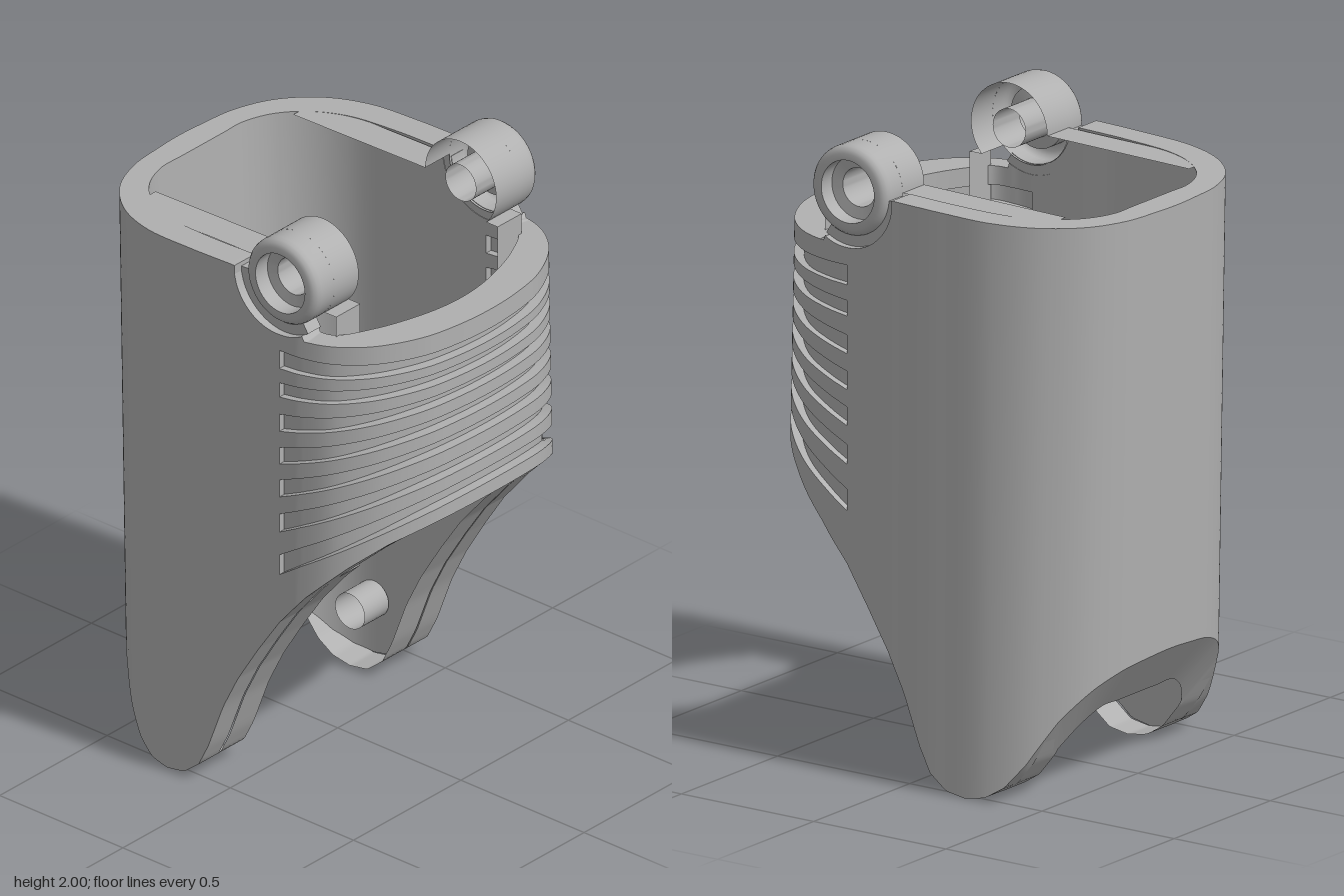
import * as THREE from 'three';
import { toCreasedNormals } from 'three/addons/utils/BufferGeometryUtils.js';

const { lerp, clamp } = THREE.MathUtils;
const HX = 0.22, HY = 1.856, HR = 0.144; // hinge axis and barrel radius

// lower cut line as seen from the front: x, y
const CUT = [[-0.66, 0.46], [-0.62, 0.42], [-0.57, 0.36], [-0.5, 0.265], [-0.42, 0.125], [-0.36, 0.05],
  [-0.3, 0.012], [-0.23, 0], [-0.16, 0.012], [-0.1, 0.06], [-0.06, 0.14], [0, 0.3], [0.06, 0.42],
  [0.14, 0.55], [0.22, 0.67], [0.32, 0.79], [0.45, 0.92], [0.54, 1.0], [0.64, 1.065]];
function cutY(x) {
  let i = 0;
  while (i < CUT.length - 2 && CUT[i + 1][0] < x) i++;
  const [a, b] = [CUT[i], CUT[i + 1]];
  return lerp(a[1], b[1], clamp((x - a[0]) / (b[0] - a[0]), 0, 1));
}

// plan sections (x, z) of one half, outer and inner
const BACK_OUT = [[-0.645, 0], [-0.64, 0.1], [-0.625, 0.23], [-0.57, 0.36], [-0.46, 0.465], [-0.32, 0.52], [-0.14, 0.532], [0.045, 0.532]];
const BACK_IN = [[-0.55, 0], [-0.55, 0.1], [-0.549, 0.19], [-0.51, 0.29], [-0.43, 0.37], [-0.32, 0.42], [-0.14, 0.438], [0.045, 0.438]];
const SIDE_OUT = [[0.045, 0.532], [0.14, 0.529], [HX, 0.524]];
const SIDE_IN = [[0.045, 0.438], [0.14, 0.438], [HX, 0.438]];
const FRONT_OUT = [[HX, 0.524], [0.3, 0.52], [0.4, 0.49], [0.5, 0.41], [0.58, 0.27], [0.61, 0.14], [0.62, 0]];
const FRONT_IN = [[HX, 0.438], [0.29, 0.438], [0.36, 0.425], [0.425, 0.32], [0.466, 0.21], [0.492, 0.1], [0.5, 0]];

const flip = (pts) => pts.map(([x, z]) => [x, -z]).reverse();
function sample(pts, per = 14) {
  const curve = new THREE.CatmullRomCurve3(pts.map(([x, z]) => new THREE.Vector3(x, 0, z)));
  const n = (pts.length - 1) * per;
  return Array.from({ length: n + 1 }, (_, i) => curve.getPoint(i / n));
}

// slight taper of the back and the nose with height
function taper(x, y, inner) {
  const back = clamp((-0.2 - x) / 0.3, 0, 1) * (inner ? 0.05 : 0.025) * (1.84 - y) / 1.45;
  const nose = clamp((x - 0.3) / 0.3, 0, 1) * 0.02 * (1.69 - y) / 0.63;
  return x + back + nose;
}

// wall swept along a plan path; top and bottom are height rules of (x, outer x)
function wall(outer, inner, top, bottom) {
  const place = (p, rule, isInner, ref) => {
    let y = rule(p.x, ref);
    for (let k = 0; k < 3; k++) y = rule(taper(p.x, y, isInner), ref);
    return [taper(p.x, y, isInner), y, p.z];
  };
  const rings = outer.map((o, i) => [
    place(o, bottom, false, o.x), place(o, top, false, o.x),
    place(inner[i], top, true, o.x), place(inner[i], bottom, true, o.x)]);
  const pos = [], index = [];
  for (let c = 0; c < 4; c++) {
    const base = pos.length / 3;
    rings.forEach((r) => pos.push(...r[c], ...r[(c + 1) % 4]));
    for (let i = 0; i < rings.length - 1; i++) {
      const a = base + i * 2;
      index.push(a, a + 2, a + 3, a, a + 3, a + 1);
    }
  }
  for (const cap of [rings[0], [...rings[rings.length - 1]].reverse()]) {
    const b = pos.length / 3;
    pos.push(...cap.flat());
    index.push(b, b + 1, b + 2, b, b + 2, b + 3);
  }
  const g = new THREE.BufferGeometry();
  g.setAttribute('position', new THREE.Float32BufferAttribute(pos, 3));
  g.setIndex(index);
  g.computeVertexNormals();
  return g;
}

// strip along (x, y) points, spanning z0 to z1, facing right of the path
function ribbon(pts, z0, z1) {
  const pos = [];
  for (let i = 0; i < pts.length - 1; i++) {
    const [p, q] = [pts[i], pts[i + 1]];
    pos.push(...p, z0, ...q, z0, ...q, z1, ...p, z0, ...q, z1, ...p, z1);
  }
  const g = new THREE.BufferGeometry();
  g.setAttribute('position', new THREE.Float32BufferAttribute(pos, 3));
  return toCreasedNormals(g, 0.5);
}

// points on an arc, angles in radians
const arc = (cx, cy, r, a0, a1, n) => Array.from({ length: n + 1 }, (_, i) => {
  const a = lerp(a0, a1, i / n);
  return [cx + r * Math.cos(a), cy + r * Math.sin(a)];
});

export function createModel() {
  const model = new THREE.Group();
  model.name = 'ventedSleeve';
  const grey = new THREE.MeshStandardMaterial({ color: 0xb0b0b0, side: THREE.DoubleSide });
  grey.name = 'grey';
  const add = (name, geometry, parent = model) => {
    const m = new THREE.Mesh(geometry, grey);
    m.name = name;
    parent.add(m);
    return m;
  };

  const topBack = (x) => 1.84 + clamp((x + 0.64) * 0.03, 0, 0.02);
  const topArc = (x) => HY - Math.sqrt(Math.max(0, 0.177 ** 2 - (x - HX) ** 2));
  const topFront = (x) => (x < 0.31 ? topArc(x) : 1.685 + (x - 0.31) * 0.03);

  // tall back shell
  const full = (half) => sample([...flip(half), ...half.slice(1)]);
  add('backShell', wall(full(BACK_OUT), full(BACK_IN), topBack, cutY));

  // side walls with the hinge cradle
  add('leftCradleWall', wall(sample(SIDE_OUT), sample(SIDE_IN), topArc, cutY));
  add('rightCradleWall', wall(sample(flip(SIDE_OUT)), sample(flip(SIDE_IN)), topArc, cutY));

  // nose: a thin skin carrying fins that fan out between the slots
  const nose = (half) => sample([...half, ...flip(half).slice(1)]);
  const no = nose(FRONT_OUT), ni = nose(FRONT_IN);
  const layer = (k) => no.map((p, i) => ni[i].clone().lerp(p, k));
  add('noseSkin', wall(layer(0.74), layer(0.27), (x) => topFront(x) - 0.012, (x) => cutY(x) + 0.02));
  // slot edges: top and bottom at the side, top and bottom at the nose
  const SLOTS = [[1.623, 1.56, 1.63, 1.59], [1.51, 1.46, 1.56, 1.52], [1.4, 1.34, 1.485, 1.45],
    [1.284, 1.225, 1.41, 1.37], [1.17, 1.11, 1.33, 1.29], [1.05, 0.987, 1.245, 1.2], [0.907, 0.838, 1.16, 1.11]];
  const edge = (a, b) => (x, ref) => lerp(a, b, (ref - HX) / (0.62 - HX));
  for (let i = 0; i <= SLOTS.length; i++) {
    const up = i ? edge(SLOTS[i - 1][1], SLOTS[i - 1][3]) : topFront;
    const down = i < SLOTS.length ? edge(SLOTS[i][0], SLOTS[i][2]) : cutY;
    add('noseFin' + (i + 1), wall(no, ni, up, down));
  }

  // open inner liner: lower cut, front end, barrel arc and top shelf in one outline
  const liner = [];
  for (let i = 0; i <= 80; i++) {
    const x = lerp(-0.46, 0.37, i / 80);
    liner.push([x, cutY(x)]);
  }
  liner.push([0.37, 1.756], ...arc(HX, HY, HR, -0.768, Math.PI, 48), [-0.46, topBack(-0.46)]);
  const socket = arc(-0.23, 0.19, 0.06, Math.PI * 2, 0, 32);

  // outer half of the hinge with rounded rim, dish and bore (radius, distance from the inner end)
  const rim = [[HR, 0.112], [HR, 0.17], [0.141, 0.184], [0.133, 0.195], [0.12, 0.2],
    [0.1, 0.2], [0.1, 0.145], [0.062, 0.14], [0.062, 0]].map(([r, h]) => new THREE.Vector2(r, h));

  // cradle web between barrel and wall
  const web = new THREE.Shape();
  web.absarc(0, 0, 0.178, Math.PI * 1.02, Math.PI * 1.68, false);
  web.absarc(0, 0, 0.142, Math.PI * 1.68, Math.PI * 1.02, true);
  web.closePath();

  for (const [side, s] of [['left', 1], ['right', -1]]) {
    const span = (a, b) => (s > 0 ? [a, b] : [-b, -a]);
    add(side + 'InnerLiner', ribbon(liner, ...span(0.32, 0.432)));
    add(side + 'PinSocket', ribbon(socket, ...span(0.32, 0.432)));

    const hinge = new THREE.Group();
    hinge.name = side + 'Hinge';
    hinge.position.set(HX, HY, 0);
    model.add(hinge);
    const rimGeometry = toCreasedNormals(new THREE.LatheGeometry(rim, 48), 0.7);
    add('hingeRim', rimGeometry.rotateX(s * Math.PI / 2), hinge).position.z = s * 0.32;
    add('hingeWeb', toCreasedNormals(new THREE.ExtrudeGeometry(web,
      { depth: 0.06, bevelEnabled: false, curveSegments: 24 }), 0.6), hinge).position.z = span(0.44, 0.5)[0];
  }
  return model;
}
